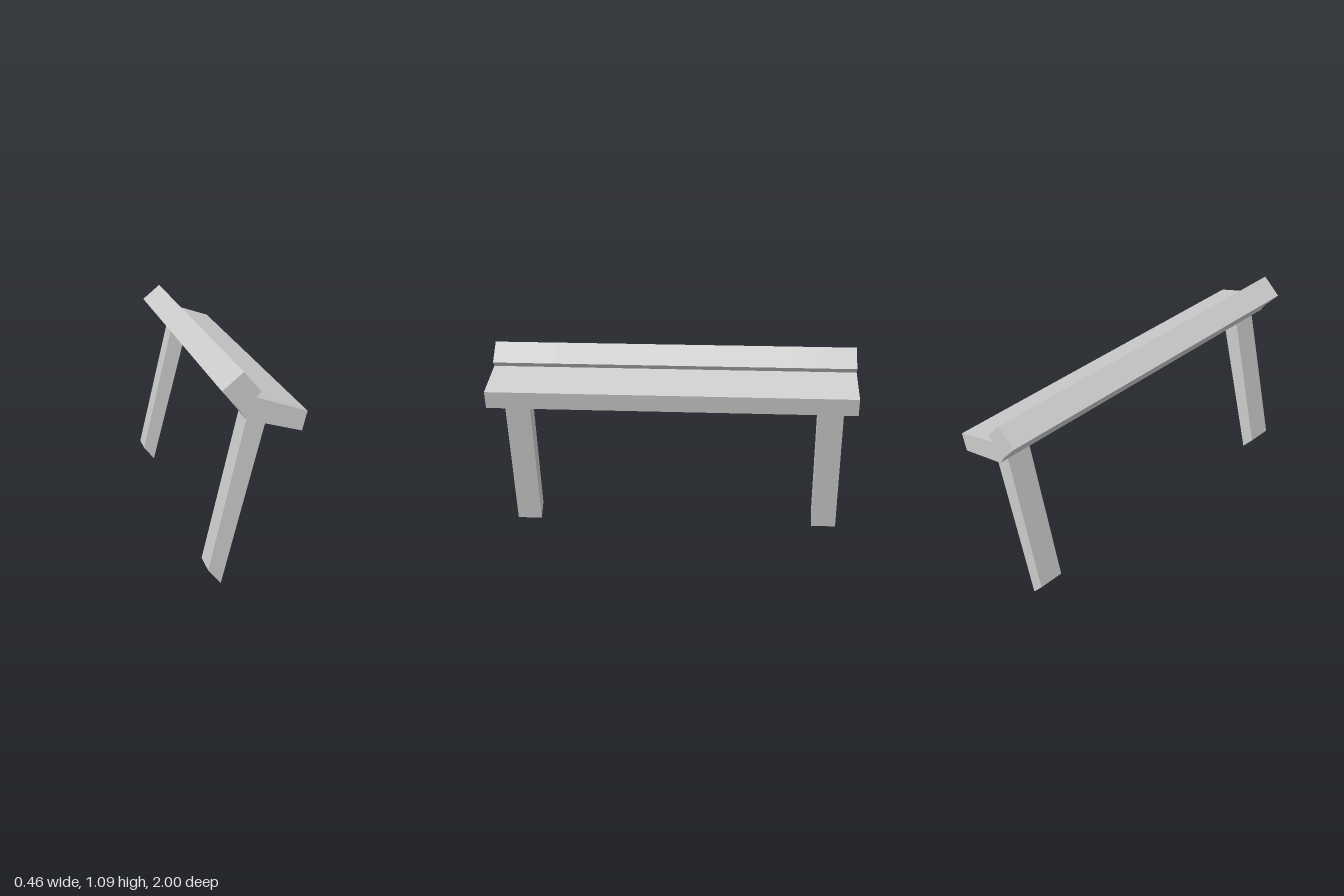
import * as THREE from 'three';

const material = new THREE.MeshStandardMaterial({ color: 0xcccccc, flatShading: true });

// Extrudes an x-y outline between two z positions
function prism(name, outline, z0, z1) {
  const shape = new THREE.Shape(outline.map(([x, y]) => new THREE.Vector2(x, y)));
  const geometry = new THREE.ExtrudeGeometry(shape, { depth: z1 - z0, bevelEnabled: false });
  geometry.translate(0, 0, z0);
  const mesh = new THREE.Mesh(geometry, material);
  mesh.name = name;
  return mesh;
}

export function createModel() {
  const model = new THREE.Group();
  model.name = 'leaningBench';

  // Cross-section of the sloped seat with its raised back rail
  const upper = [[0.23, 0.88], [-0.02, 0.965], [0.005, 0.99], [-0.08, 1.09],
    [-0.183, 1.005], [-0.1, 0.91], [-0.067, 0.86]];
  const frontBottom = [0.205, 0.785];
  // Shallow socket cut square into the underside
  const socket = [[-0.046, 0.855], [-0.03, 0.913], [0.062, 0.887], [0.046, 0.829]];
  const solid = [frontBottom, ...upper];
  const notched = [frontBottom, ...upper, ...socket];

  // Seat, in lengths with and without the socket
  const seat = new THREE.Group();
  seat.name = 'seat';
  seat.add(prism('seatMiddle', solid, -0.66, 0.66));
  for (const [z0, z1, outline, name] of [
    [0.66, 0.8, notched, 'seatSocket'],
    [0.8, 1, solid, 'seatEnd'],
  ]) {
    seat.add(prism(name, outline, z0, z1), prism(name, outline, -z1, -z0));
  }
  model.add(seat);

  // Slanted legs, cut at an angle at the foot
  const leg = [[-0.17, 0], [0.046, 0.829], [-0.046, 0.855], [-0.233, 0.077]];
  model.add(prism('frontLeg', leg, 0.8, 0.94), prism('backLeg', leg, -0.94, -0.8));

  return model;
}
